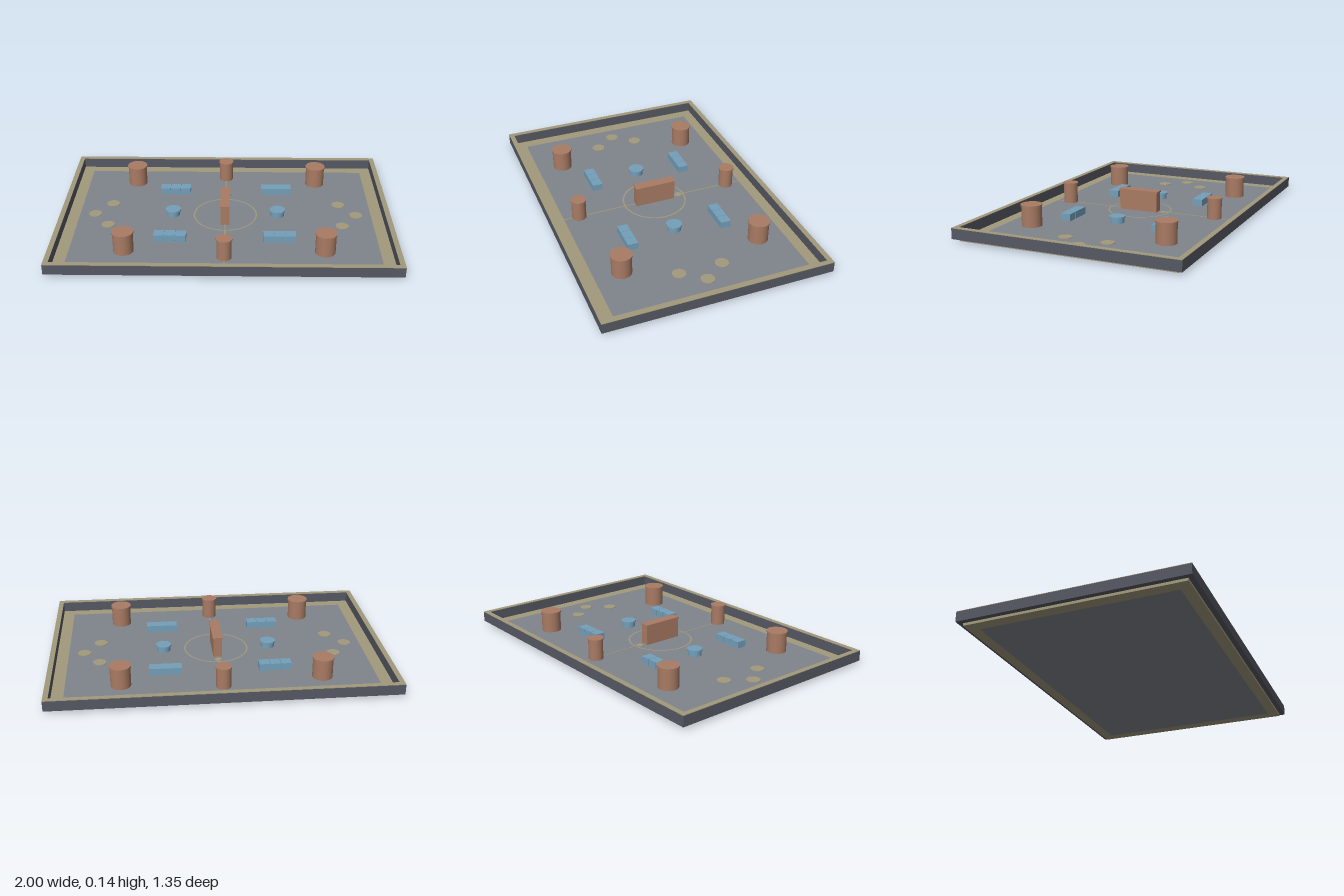
import * as THREE from 'three';

const paint = (name, color) => {
  const m = new THREE.MeshStandardMaterial({ color });
  m.name = name;
  return m;
};

export function createModel() {
  const group = new THREE.Group();
  const floorGray = paint('floor gray', 0x80858c);
  const wallGray = paint('wall gray', 0x565963);
  const sand = paint('sand trim', 0xa2997b);
  const copper = paint('copper', 0xa97b64);
  const blue = paint('cover blue', 0x74a0ba);
  const FLOOR = 0.016;

  const add = (name, geometry, material, x, y, z) => {
    const mesh = new THREE.Mesh(geometry, material);
    mesh.name = name;
    mesh.position.set(x, y, z);
    group.add(mesh);
    return mesh;
  };
  // Boxes and cylinders are placed by the height of their underside
  const box = (name, m, w, h, d, x, y, z) =>
    add(name, new THREE.BoxGeometry(w, h, d), m, x, y + h / 2, z);
  const disc = (name, m, r, h, x, y, z, sides = 32) =>
    add(name, new THREE.CylinderGeometry(r, r, h, sides), m, x, y + h / 2, z);

  // Floor slab with a sand border around it
  box('floor', floorGray, 1.8, FLOOR, 1.16, 0, 0, 0);
  for (const s of [-1, 1]) {
    box('longBorder', sand, 1.94, FLOOR, 0.065, 0, 0, s * 0.6125);
    box('shortBorder', sand, 0.07, FLOOR, 1.16, s * 0.935, 0, 0);

    // Perimeter walls and their top trim
    box('longWall', wallGray, 2, 0.061, 0.03, 0, 0.016, s * 0.66);
    box('longWallTrim', sand, 2, 0.003, 0.03, 0, 0.077, s * 0.66);
    box('shortWall', wallGray, 0.03, 0.061, 1.29, s * 0.985, 0.016, 0);
    box('shortWallTrim', sand, 0.03, 0.003, 1.29, s * 0.985, 0.077, 0);
  }

  // Floor markings
  box('centreLine', sand, 0.007, 0.002, 1.16, 0, FLOOR, 0);
  const ring = add('centreRing', new THREE.RingGeometry(0.187, 0.196, 64), sand, 0, FLOOR + 0.0025, 0);
  ring.rotation.x = -Math.PI / 2;
  disc('centreSpot', sand, 0.022, 0.003, 0, FLOOR, -0.16, 20);
  for (const s of [-1, 1]) {
    for (const [x, z] of [[0.807, 0], [0.71, 0.13], [0.71, -0.13]]) {
      disc('startSpot', sand, 0.04, 0.003, s * x, FLOOR, z);
    }
  }

  // Capped pillars
  const pillar = (name, r, x, z) => {
    disc(name, copper, r, 0.119, x, FLOOR, z);
    disc(name + 'Cap', copper, r + 0.004, 0.009, x, 0.135, z);
  };
  for (const sz of [-1, 1]) {
    pillar('middlePillar', 0.043, 0, sz * 0.485);
    for (const sx of [-1, 1]) pillar('cornerPillar', 0.059, sx * 0.582, sz * 0.42);
  }

  // Central barrier
  box('barrier', copper, 0.052, 0.119, 0.246, 0, FLOOR, 0);
  box('barrierCap', copper, 0.06, 0.009, 0.254, 0, 0.135, 0);

  // Low cover: segmented blocks and round stands
  for (const sx of [-1, 1]) {
    for (const sz of [-1, 1]) {
      box('coverBase', blue, 0.188, 0.036, 0.058, sx * 0.323, FLOOR, sz * 0.292);
      for (const i of [-1, 0, 1]) {
        box('coverBlock', blue, 0.062, 0.042, 0.062, sx * 0.323 + i * 0.0645, FLOOR, sz * 0.292);
      }
    }
    disc('roundStand', blue, 0.041, 0.03, sx * 0.322, FLOOR, 0);
    disc('roundStandCap', blue, 0.047, 0.01, sx * 0.322, FLOOR + 0.03, 0);
  }

  return group;
}
